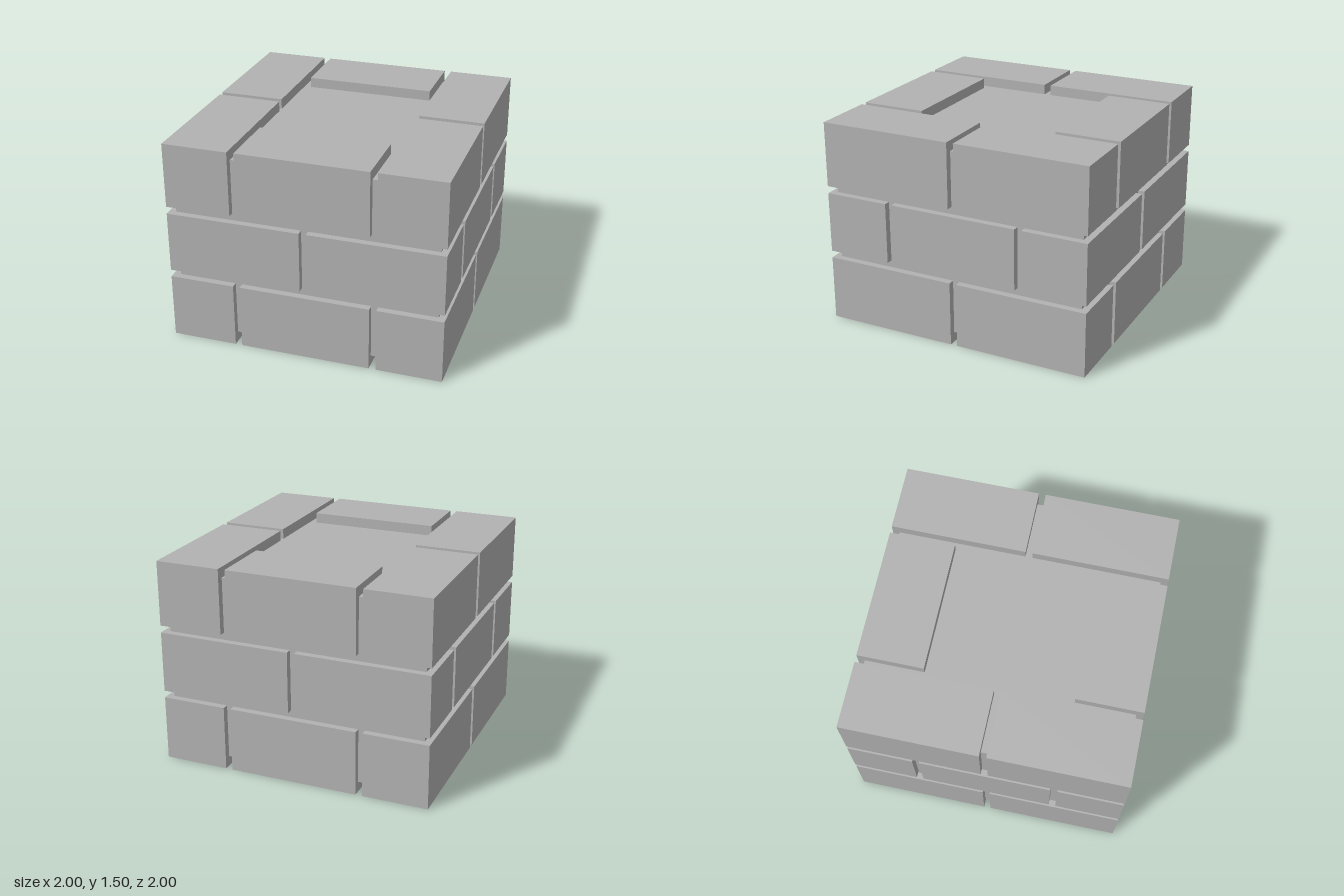
import * as THREE from 'three';

export function createModel() {
  const model = new THREE.Group();
  model.name = 'brickBlock';
  const stone = new THREE.MeshStandardMaterial({ color: 0xb2b2b2 });
  stone.name = 'grey stone';

  // Box given by its minimum and maximum corners
  function box(name, min, max, parent) {
    const size = max.map((v, i) => v - min[i]);
    const mesh = new THREE.Mesh(new THREE.BoxGeometry(...size), stone);
    mesh.position.set(...max.map((v, i) => (v + min[i]) / 2));
    mesh.name = name;
    parent.add(mesh);
  }

  // Mortar core, recessed behind the bricks
  box('mortarCore', [-0.95, 0.075, -0.95], [0.95, 1.43, 0.95], model);

  // One ring of bricks: four long corner bricks and two fillers between them
  function course(name, y0, y1, turned) {
    const ring = new THREE.Group();
    ring.name = name;
    for (const s of [-1, 1]) {
      const [a, b] = s > 0 ? [0.525, 1] : [-1, -0.525];
      for (const [c, d] of [[-1, -0.025], [0.025, 1]]) {
        if (turned) box('cornerBrick', [c, y0, a], [d, y1, b], ring);
        else box('cornerBrick', [a, y0, c], [b, y1, d], ring);
      }
      if (turned) box('middleBrick', [a, y0, -0.475], [b, y1, 0.475], ring);
      else box('middleBrick', [-0.475, y0, a], [0.475, y1, b], ring);
    }
    model.add(ring);
  }

  course('bottomCourse', 0, 0.477, false);
  course('middleCourse', 0.53, 0.977, true);
  course('topCourse', 1.03, 1.505, false);
  return model;
}
